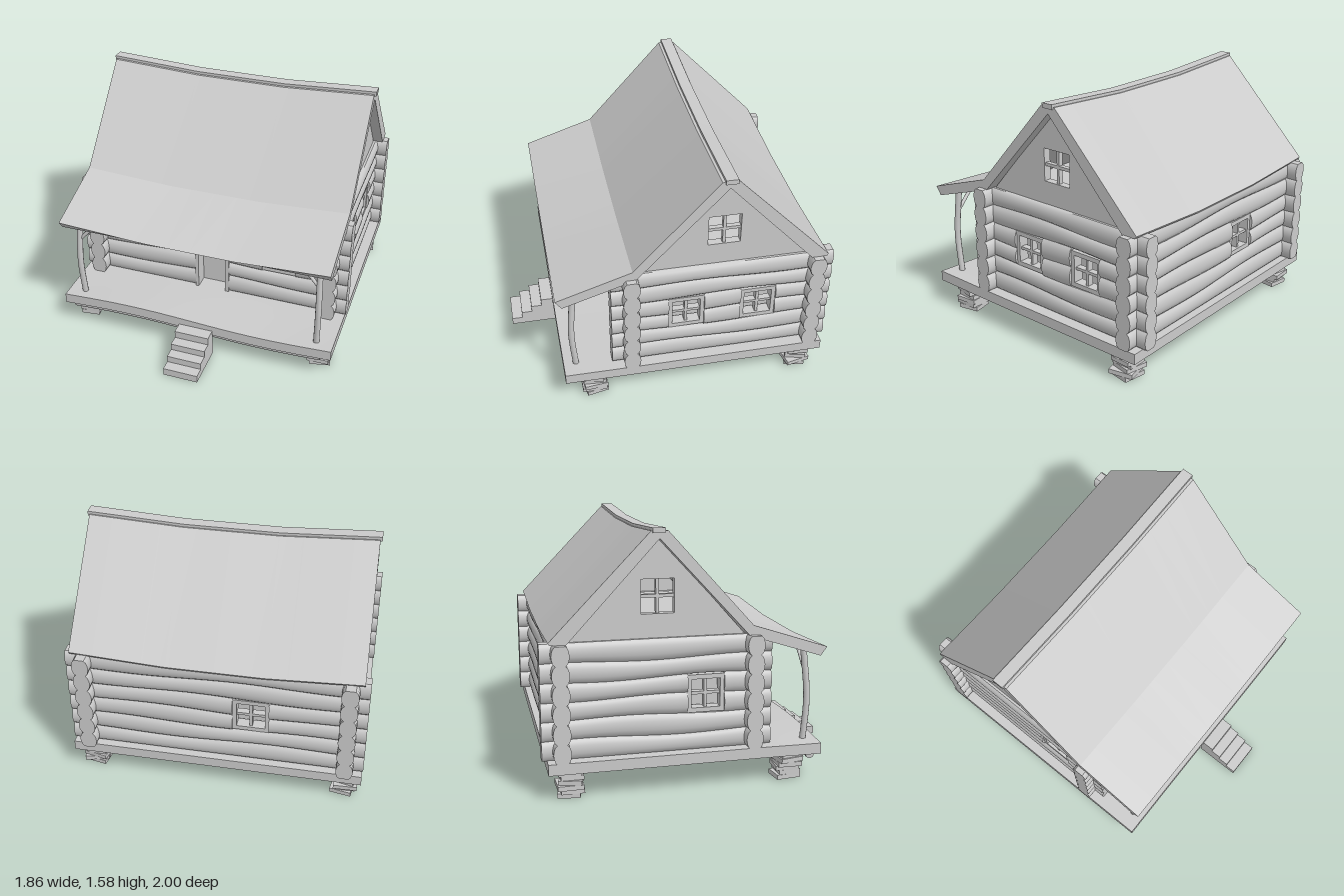
import * as THREE from 'three';
import { toCreasedNormals } from 'three/addons/utils/BufferGeometryUtils.js';

const material = new THREE.MeshStandardMaterial({ color: 0xcccccc });
const BASE = 0.23, ROWS = 6, ROW = 0.1167; // log courses

let seed = 7;
const rand = () => (seed = (seed * 16807) % 2147483647) / 2147483647;

function add(parent, name, geometry, x = 0, y = 0, z = 0) {
  const mesh = new THREE.Mesh(geometry, material);
  mesh.name = name;
  mesh.position.set(x, y, z);
  parent.add(mesh);
  return mesh;
}

// Box given by its limits
function box(parent, name, x0, x1, y0, y1, z0, z1) {
  return add(parent, name, new THREE.BoxGeometry(x1 - x0, y1 - y0, z1 - z0),
    (x0 + x1) / 2, (y0 + y1) / 2, (z0 + z1) / 2);
}

function warp(geometry, rule) {
  const p = geometry.attributes.position;
  for (let i = 0; i < p.count; i++) p.setY(i, p.getY(i) + rule(p.getX(i), p.getY(i), p.getZ(i)));
  return geometry;
}

function tube(parent, name, points, radius) {
  const curve = new THREE.CatmullRomCurve3(points.map(p => new THREE.Vector3(...p)));
  const g = add(parent, name, new THREE.TubeGeometry(curve, 20, radius, 10));
  // flat ends
  for (const t of [0, 1]) {
    const cap = add(parent, name + 'End', new THREE.CircleGeometry(radius, 10));
    cap.position.copy(curve.getPoint(t));
    cap.lookAt(cap.position.clone().addScaledVector(curve.getTangent(t), t ? 1 : -1));
  }
  return g;
}

// Polygon of [z, y] points extruded along x
function extrudeX(points, x0, x1, steps = 1, hole) {
  const toVec = ([z, y]) => new THREE.Vector2(-z, y);
  const shape = new THREE.Shape(points.map(toVec));
  if (hole) shape.holes.push(new THREE.Path(hole.map(toVec)));
  const g = new THREE.ExtrudeGeometry(shape, { depth: x1 - x0, steps, bevelEnabled: false });
  return g.rotateY(Math.PI / 2).translate(x0, 0, 0);
}

// One hand-hewn log along x; neighbouring courses share their wavy seams
const HALF = [[0.03, 0], [0.043, 0.12], [0.05, 0.3], [0.053, 0.5], [0.05, 0.7], [0.043, 0.88], [0.03, 1]];
const PROFILE = [...HALF, ...HALF.map(([w, t]) => [-w, t]).reverse()];
function logGeometry(x0, x1, row, seam) {
  const n = Math.max(2, Math.ceil((x1 - x0) / 0.07)), m = PROFILE.length, pos = [], index = [];
  for (let i = 0; i <= n; i++) {
    const x = x0 + (x1 - x0) * i / n, lo = seam(row, x), hi = seam(row + 1, x);
    for (const [w, t] of PROFILE) pos.push(x, lo + (hi - lo) * t, w);
  }
  for (let i = 0; i < n; i++) for (let j = 0; j < m; j++) {
    const a = i * m + j, b = i * m + (j + 1) % m;
    index.push(a, a + m, b + m, a, b + m, b);
  }
  const e = n * m;
  for (let j = 1; j < m - 1; j++) index.push(0, j, j + 1, e, e + j + 1, e + j);
  const g = new THREE.BufferGeometry();
  g.setAttribute('position', new THREE.Float32BufferAttribute(pos, 3));
  g.setIndex(index);
  return toCreasedNormals(g, 0.8);
}

// Window with a frame and crossed bars, facing z
function addWindow(parent, cx, cy, size, depth) {
  const g = new THREE.Group(), h = size / 2, b = 0.014, d = depth / 2;
  g.name = 'window';
  g.position.set(cx, cy, 0);
  parent.add(g);
  for (const s of [-1, 1]) {
    box(g, 'frameSide', s * h - b, s * h + b, -h - b, h + b, -d, d);
    box(g, 'frameRail', -h, h, s * h - b, s * h + b, -d, d);
  }
  box(g, 'upright', -0.009, 0.009, -h, h, -d * 0.6, d * 0.6);
  box(g, 'crossbar', -h, h, -0.009, 0.009, -d * 0.6, d * 0.6);
}

// Log wall along x; openings are [from, to, first row]
function logWall(name, x0, x1, phase, openings) {
  const wall = new THREE.Group(), mid = (x0 + x1) / 2, len = (x1 - x0) / 2;
  wall.name = name;
  const seam = (k, x) => BASE + k * ROW + (k % ROWS ? 0.013 : 0) *
    Math.sin(x * 4 + k * 1.3 + phase) * (1 - ((x - mid) / len) ** 2);
  for (let r = 0; r < ROWS; r++) {
    let from = x0;
    for (const [a, b, first] of openings) {
      if (r < first || r > 3) continue;
      add(wall, 'log', logGeometry(from, a, r, seam));
      from = b;
    }
    add(wall, 'log', logGeometry(from, x1, r, seam));
  }
  for (const [a, b, first] of openings) if (first === 2) addWindow(wall, (a + b) / 2, 0.58, 0.205, 0.07);
  return wall;
}

export function createModel() {
  const house = new THREE.Group();
  house.name = 'logCabin';

  // Floor with an uneven porch edge, and the beam below it
  const wave = x => -0.015 * Math.sin(x * 3.6);
  const floor = new THREE.BoxGeometry(1.85, 0.068, 1.68, 24, 1, 10).translate(0, 0.199, -0.13);
  warp(floor, (x, y, z) => wave(x) * THREE.MathUtils.smoothstep(z, 0.3, 0.7));
  floor.computeVertexNormals();
  add(house, 'floor', floor);
  tube(house, 'porchBeam', [-0.87, -0.6, -0.3, 0, 0.3, 0.6, 0.85].map(x => [x, 0.143 + wave(x), 0.66]), 0.028);

  // Stacked stone piers
  for (const x of [-0.815, 0.815]) for (const z of [0.52, -0.835]) for (let i = 0; i < 6; i++) {
    const slab = new THREE.BoxGeometry(0.125 + rand() * 0.035, 0.029, 0.125 + rand() * 0.035);
    const stone = add(house, 'pierStone', slab, x + (rand() - 0.5) * 0.02, 0.0145 + i * 0.0275, z + (rand() - 0.5) * 0.02);
    stone.rotation.y = (rand() - 0.5) * 0.5;
  }

  // Front steps
  [0.05, 0.095, 0.14, 0.19].forEach((h, i) =>
    box(house, 'step', -0.095, 0.135, 0, h, 0.93 - i * 0.07 - (i === 3 ? 0.02 : 0), 1 - i * 0.07));

  // Log walls around a plain inner shell
  const win = c => [c - 0.113, c + 0.113, 2];
  const front = logWall('frontWall', -0.93, 0.93, 0, [[-0.115, 0.118, 0], win(0.465)]);
  const back = logWall('backWall', -0.93, 0.93, 2, [win(-0.22)]);
  const left = logWall('leftWall', -0.4, 1, 1, [win(0.075), win(0.535)]);
  const right = logWall('rightWall', -0.4, 1, 3, [win(0.01)]);
  front.position.z = 0.28;
  back.position.z = -0.885;
  left.position.x = 0.815;
  right.position.x = -0.815;
  left.rotation.y = right.rotation.y = Math.PI / 2;
  house.add(front, back, left, right);
  box(house, 'innerWalls', -0.755, 0.755, 0.23, 0.925, -0.825, 0.22);

  // Door and its frame
  box(house, 'door', -0.095, 0.092, 0.232, 0.68, 0.21, 0.235);
  box(house, 'doorJamb', -0.117, -0.095, 0.232, 0.697, 0.21, 0.335);
  box(house, 'doorJamb', 0.092, 0.12, 0.232, 0.697, 0.21, 0.33);
  box(house, 'doorHead', -0.095, 0.092, 0.68, 0.697, 0.21, 0.33);

  // Gable walls with a square window each
  const hole = [[-0.2, 1.075], [-0.4, 1.075], [-0.4, 1.28], [-0.2, 1.28]];
  for (const s of [-1, 1]) {
    add(house, 'gable', extrudeX([[0.26, 0.9], [-0.3, 1.53], [-0.86, 0.9]], s * 0.805 - 0.025, s * 0.805 + 0.025, 1, hole));
    const holder = new THREE.Group();
    holder.name = 'gableWindow';
    holder.position.set(s * 0.805, 0, -0.3);
    holder.rotation.y = Math.PI / 2;
    house.add(holder);
    box(holder, 'upright', -0.009, 0.009, 1.07, 1.285, -0.015, 0.015);
    box(holder, 'crossbar', -0.105, 0.105, 1.168, 1.188, -0.015, 0.015);
  }

  // Sagging roof that sweeps out over the porch, with a ridge board
  const sag = x => -0.032 * (1 - THREE.MathUtils.clamp((Math.abs(x) - 0.3) / 0.6, 0, 1));
  const section = [[-0.95, 0.945], [-0.35, 1.565], [-0.25, 1.565], [0.27, 0.99], [0.74, 0.835],
    [0.7, 0.78], [0.25, 0.925], [-0.3, 1.52], [-0.85, 0.925], [-0.94, 0.93]];
  const roof = warp(extrudeX(section, -0.895, 0.895, 12), (x, y) => y < 0.79 ? 0 : sag(x));
  add(house, 'roof', toCreasedNormals(roof, 0.3));
  const ridge = new THREE.BoxGeometry(1.815, 0.03, 0.075, 12, 1, 1).translate(0, 1.568, -0.305);
  add(house, 'ridgeBoard', toCreasedNormals(warp(ridge, sag), 0.3));

  // Bowed porch posts with braces
  for (const s of [-1, 1]) {
    tube(house, 'porchPost', [[s * 0.81, 0.22, 0.63], [s * 0.815, 0.5, 0.648], [s * 0.805, 0.815, 0.622]], 0.02);
    tube(house, 'postBrace', [[s * 0.81, 0.66, 0.635], [s * 0.75, 0.73, 0.632], [s * 0.69, 0.8, 0.628]], 0.012);
  }
  return house;
}
